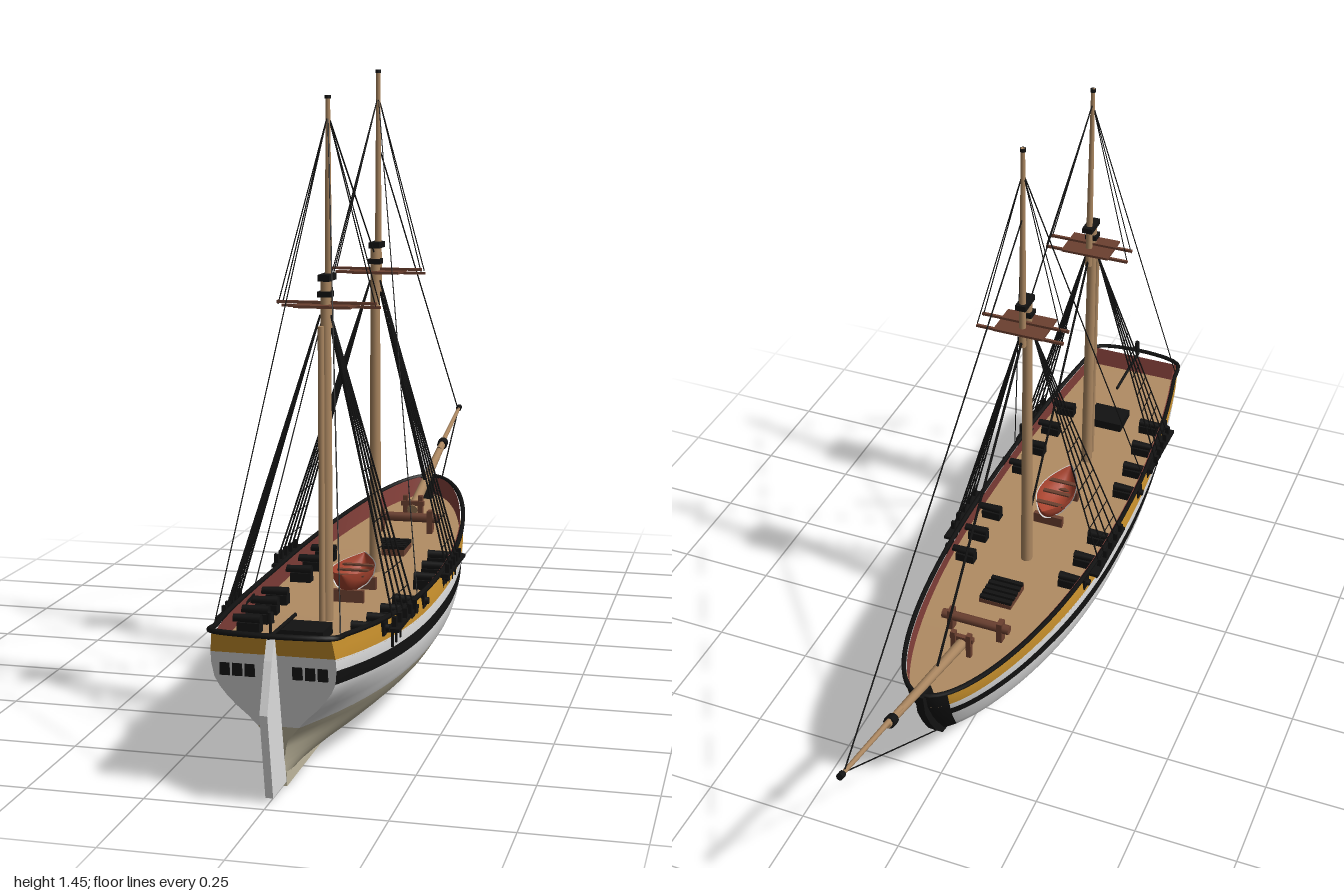
import * as THREE from 'three';

const mat = (name, color, side = THREE.FrontSide) =>
  Object.assign(new THREE.MeshStandardMaterial({ color, side }), { name });
const M = {
  white: mat('white paint', 0xdedede),
  cream: mat('bottom cream', 0xc0b89e),
  black: mat('black', 0x121212),
  ochre: mat('ochre', 0xc8902c),
  deck: mat('deck planking', 0xb18c63, THREE.DoubleSide),
  spar: mat('spar wood', 0xaa8660),
  brown: mat('dark brown', 0x6b4030),
  red: mat('bulwark red', 0x84403a, THREE.DoubleSide),
  boat: mat('boat red', 0xa8442f, THREE.DoubleSide),
};
const V = (x, y, z) => new THREE.Vector3(x, y, z);
const lerp = THREE.MathUtils.lerp;

// Piecewise interpolation through [input, output] pairs
function table(pts, y) {
  if (y <= pts[0][0]) return pts[0][1];
  for (let i = 1; i < pts.length; i++) {
    const [a, b] = [pts[i - 1], pts[i]];
    if (y <= b[0]) return lerp(a[1], b[1], (y - a[0]) / (b[0] - a[0]));
  }
  return pts[pts.length - 1][1];
}

// Hull form: stem and stern profiles, midship and transom sections
const STEM = [[.02, -.22], [.05, -.31], [.1, -.42], [.155, -.5], [.2, -.53], [.25, -.56], [.3, -.583], [.35, -.595]];
const MID = [[.02, .01], [.04, .07], [.06, .11], [.08, .138], [.1, .16], [.14, .186], [.17, .195], [.2, .199], [.25, .198], [.3, .19], [.35, .185]];
const END = [[.02, .006], [.06, .008], [.1, .015], [.15, .055], [.18, .087], [.21, .112], [.24, .126], [.28, .13], [.34, .122]];
const zBow = y => table(STEM, y);
const zStern = y => .87 + .22 * y;
function breadth(z, y) {
  const c = .2, m = table(MID, y);
  if (z < c) {
    const t = Math.min(1, (c - z) / (c - zBow(y)));
    return m * Math.pow(1 - t * t, .5 + .4 * Math.max(0, (.3 - y) / .3));
  }
  const t = Math.min(1, (z - c) / (zStern(y) - c));
  return lerp(m, table(END, y), Math.pow(t, 2.5));
}
const sheerZ = z => .29 + (z > .25 ? .1 : .08) * (z - .25) ** 2;
const sheer = u => sheerZ(.94 - 1.54 * u);
const BULWARK = .048;
const deckY = z => sheerZ(z) - BULWARK;
const hullPoint = (u, y, inset = 0) => {
  const z = lerp(zStern(y), zBow(y), u);
  return V(Math.max(0, breadth(z, y) - inset), y, z);
};
const U = i => 1 - (1 - i / 40) ** 1.7; // columns gather toward the bow

// Surface from a grid of points; pick(i, j) chooses the material of each cell
function grid(nu, nv, fn, mats, pick = () => 0, flip = false) {
  const pos = [], buckets = mats.map(() => []);
  for (let i = 0; i <= nu; i++) for (let j = 0; j <= nv; j++) pos.push(...fn(i, j).toArray());
  for (let i = 0; i < nu; i++) for (let j = 0; j < nv; j++) {
    const a = i * (nv + 1) + j, b = a + nv + 1, c = b + 1, d = a + 1;
    buckets[pick(i, j)].push(...(flip ? [a, c, b, a, d, c] : [a, b, c, a, c, d]));
  }
  const g = new THREE.BufferGeometry();
  g.setAttribute('position', new THREE.Float32BufferAttribute(pos, 3));
  g.setIndex(buckets.flat());
  let start = 0;
  buckets.forEach((b, k) => { g.addGroup(start, b.length, k); start += b.length; });
  g.computeVertexNormals();
  return new THREE.Mesh(g, mats);
}

export function createModel() {
  const root = new THREE.Group();
  root.name = 'sailingShip';
  const add = (name, mesh, parent = root) => { mesh.name = name; parent.add(mesh); return mesh; };
  const box = (name, m, w, h, d, x, y, z) => {
    const b = add(name, new THREE.Mesh(new THREE.BoxGeometry(w, h, d), m));
    b.position.set(x, y, z);
    return b;
  };
  const rod = (name, m, a, b, r0, r1 = r0, sides = 12) => {
    const c = add(name, new THREE.Mesh(new THREE.CylinderGeometry(r1, r0, a.distanceTo(b), sides), m));
    c.position.copy(a).lerp(b, .5);
    c.quaternion.setFromUnitVectors(V(0, 1, 0), b.clone().sub(a).normalize());
    return c;
  };
  const rope = (name, a, b, r = .0018) => rod(name, M.black, a, b, r, r, 4);
  // Plate drawn in the z-y plane
  const plate = (name, m, pts, t) => {
    const s = new THREE.Shape(pts.map(p => new THREE.Vector2(...p)));
    const g = new THREE.ExtrudeGeometry(s, { depth: t, bevelEnabled: false });
    g.translate(0, 0, -t / 2).rotateY(-Math.PI / 2);
    return add(name, new THREE.Mesh(g, m));
  };

  // Hull rows: bottom 0-9, topsides 9-14, wale 14-15, white strake 15-16, ochre 16-18
  const rowY = (u, j) => {
    const s = sheer(u);
    if (j <= 9) return lerp(.02, .135, (j / 9) ** 1.3);
    if (j <= 14) return lerp(.135, s - .1, (j - 9) / 5);
    return s - [.1, .07, .045, .022, 0][j - 14];
  };
  const paints = [M.cream, M.white, M.black, M.ochre];
  const paint = j => j < 9 ? 0 : j < 14 ? 1 : j < 15 ? 2 : j < 16 ? 1 : 3;
  for (const s of [1, -1]) {
    const mirror = p => { p.x *= s; return p; };
    add('hullSide', grid(40, 18, (i, j) => mirror(hullPoint(U(i), rowY(U(i), j))), paints,
      (i, j) => U(i) > .972 && j > 9 ? 2 : paint(j), s < 0));
    add('innerBulwark', grid(40, 1, (i, j) =>
      mirror(hullPoint(U(i), sheer(U(i)) - BULWARK * (1 - j), .008)), [M.red]));
  }
  add('transom', grid(2, 18, (i, j) => {
    const p = hullPoint(0, rowY(0, j)); p.x *= i - 1; return p;
  }, paints, (i, j) => j === 14 ? 1 : paint(j)));
  add('innerTransom', grid(2, 1, (i, j) => {
    const p = hullPoint(0, sheer(0) - BULWARK * (1 - j)); p.x *= i - 1; p.z -= .008; return p;
  }, [M.red]));
  add('deck', grid(40, 2, (i, j) => {
    const p = hullPoint(U(i), sheer(U(i)) - BULWARK); p.x *= j - 1; return p;
  }, [M.deck], () => 0, true));

  // Rail along the sheer and across the stern
  const edge = [...Array(41).keys()].map(i => hullPoint(U(i), sheer(U(i))));
  const other = edge.slice(0, -1).reverse().map(p => V(-p.x, p.y, p.z));
  const railPath = new THREE.CatmullRomCurve3([...edge, ...other], true, 'centripetal');
  add('rail', new THREE.Mesh(new THREE.TubeGeometry(railPath, 200, .006, 6, true), M.black));

  // Keel, stem, rudder and tiller
  box('keel', M.cream, .018, .03, 1.09, 0, .015, .325);
  plate('stem', M.black, [[-.606, .35], [-.596, .29], [-.572, .24], [-.542, .19], [-.505, .148], [-.47, .14], [-.52, .24], [-.56, .35]], .02);
  plate('rudder', M.white, [[.945, .335], [.966, .29], [1, .19], [.965, .01], [.87, .01], [.935, .3]], .016);
  rod('tiller', M.black, V(0, .335, .96), V(0, .33, .77), .004);
  rod('lanternPost', M.black, V(0, .32, .945), V(0, .37, .945), .003);
  rod('lantern', M.black, V(0, .362, .945), V(0, .383, .945), .008, .006, 8);

  for (const s of [1, -1]) {
    // Stern windows
    for (const x of [.049, .075, .101])
      box('sternWindow', M.black, .02, .026, .006, s * x, .257, zStern(.257) + .001);
    // Guns and ports
    for (const z of [0, .095, .195, .405, .5, .595, .69]) {
      const y = deckY(z) + .03, b = breadth(z, y);
      box('gunPort', M.black, .008, .03, .032, s * b, y, z);
      rod('gunBarrel', M.black, V(s * (b - .07), y, z), V(s * (b + .012), y, z), .011, .008, 8);
      box('gunCarriage', M.black, .05, .022, .026, s * (b - .045), y - .018, z);
    }
  }

  // Masts, tops and standing rigging
  const mast = ({ z, cap, top, head, topZ, zs, stayY, back }) => {
    const base = deckY(z);
    rod('lowerMast', M.spar, V(0, base, z), V(0, cap, z), .015, .011);
    rod('topmast', M.spar, V(0, top - .05, topZ), V(0, head, topZ), .009, .005);
    rod('topmastHead', M.black, V(0, head - .008, topZ), V(0, head, topZ), .007);
    box('mastCap', M.black, .026, .014, .062, 0, cap, (z + topZ) / 2);
    box('mastCollar', M.black, .03, .012, .03, 0, top + .025, z);
    box('topPlatform', M.brown, .125, .006, .095, 0, top, (z + topZ) / 2);
    for (const dz of [-.018, .018]) box('crosstree', M.brown, .22, .006, .007, 0, top + .006 * Math.sign(dz), topZ + dz);
    for (const s of [1, -1]) {
      const zMid = (zs[0] + zs[1]) / 2, bx = breadth(zMid, .285);
      box('channel', M.black, .026, .008, zs[1] - zs[0] + .06, s * (bx + .008), .285, zMid - .01);
      const hi = V(s * .012, top - .02, z);
      const foot = k => V(s * (breadth(lerp(zs[0], zs[1], k / 4), .285) + .014), .29, lerp(zs[0], zs[1], k / 4));
      for (let k = 0; k < 5; k++) {
        rope('shroud', foot(k), hi, .0022);
        box('deadeye', M.black, .01, .03, .01, foot(k).x, .295, foot(k).z);
        box('chainPlate', M.black, .005, .04, .005, s * (bx + .003), .265, foot(k).z);
      }
      for (let r = 1; r <= 10; r++) {
        const t = r * .082;
        for (let k = 0; k < 4; k++) rope('ratline', foot(k).lerp(hi, t), foot(k + 1).lerp(hi, t), .0013);
      }
      for (const dz of [-.018, .018]) rope('topmastShroud', V(s * .108, top, topZ + dz), V(0, stayY, topZ), .0013);
      rope('backstay', V(0, stayY, topZ), V(s * breadth(back, sheerZ(back)), sheerZ(back), back), .0015);
    }
  };
  mast({ z: .067, cap: 1.035, top: .972, head: 1.445, topZ: .035, zs: [.06, .21], stayY: 1.385, back: .45 });
  mast({ z: .52, cap: 1, top: .94, head: 1.385, topZ: .495, zs: [.53, .67], stayY: 1.345, back: .905 });
  rod('trysailMast', M.spar, V(0, deckY(.56), .56), V(0, .9, .56), .007);

  // Bowsprit and jibboom
  const sprit = z => V(0, .31 + (-.37 - z) * .262, z);
  rod('bowsprit', M.spar, sprit(-.35), sprit(-.77), .014, .009);
  rod('jibboom', M.spar, sprit(-.7).add(V(0, .006, 0)), sprit(-.995), .007, .005);
  rod('bowspritCap', M.black, sprit(-.74), sprit(-.762), .014);
  rod('jibboomCap', M.black, sprit(-.985), sprit(-1), .008);

  // Stays
  rope('foreTopmastStay', V(0, 1.27, .035), sprit(-.98), .0018);
  rope('foreStay', V(0, .96, .05), V(0, .345, -.51), .0032);
  rope('aftTopmastStay', V(0, 1.345, .495), V(0, 1.02, .08), .0018);
  rope('aftStay', V(0, .92, .5), V(0, .36, .075), .003);
  rope('bobstay', sprit(-.98), V(0, .155, -.505), .002);

  // Deck fittings
  box('foreHatch', M.brown, .085, .016, .09, 0, deckY(-.1) + .008, -.105);
  for (let k = 0; k < 5; k++) box('hatchGrating', M.black, .085, .008, .012, 0, deckY(-.1) + .02, -.143 + k * .019);
  box('aftHatch', M.black, .1, .024, .08, 0, deckY(.7) + .012, .7);
  rod('windlass', M.brown, V(-.088, deckY(-.27) + .04, -.27), V(.088, deckY(-.27) + .04, -.27), .012, .012, 8);
  for (const s of [1, -1]) {
    box('windlassPost', M.brown, .014, .06, .024, s * .065, deckY(-.27) + .03, -.27);
    box('bowspritBitt', M.brown, .012, .07, .014, s * .02, deckY(-.36) + .035, -.36);
  }
  box('bittCrosspiece', M.brown, .06, .012, .012, 0, deckY(-.36) + .05, -.355);

  // Ship's boat on deck
  const boatSkin = k => (i, j) => {
    const t = i / 8 - 1, a = (j / 8) * Math.PI, w = .05 * (1 - t * t) * k;
    return V(-Math.cos(a) * w, .308 + .01 * t * t - Math.sin(a) * .05 * (1 - t ** 4) * k, .285 + .115 * t * k);
  };
  add('boatOutside', grid(16, 8, boatSkin(1), [M.white], () => 0, false));
  add('boatInside', grid(16, 8, boatSkin(.95), [M.boat]));
  for (const dz of [-.05, 0, .05]) box('boatThwart', M.brown, .075, .004, .012, 0, .302, .285 + dz);
  for (const dz of [-.06, .06]) box('boatChock', M.brown, .08, .03, .012, 0, .256, .285 + dz);
  return root;
}
